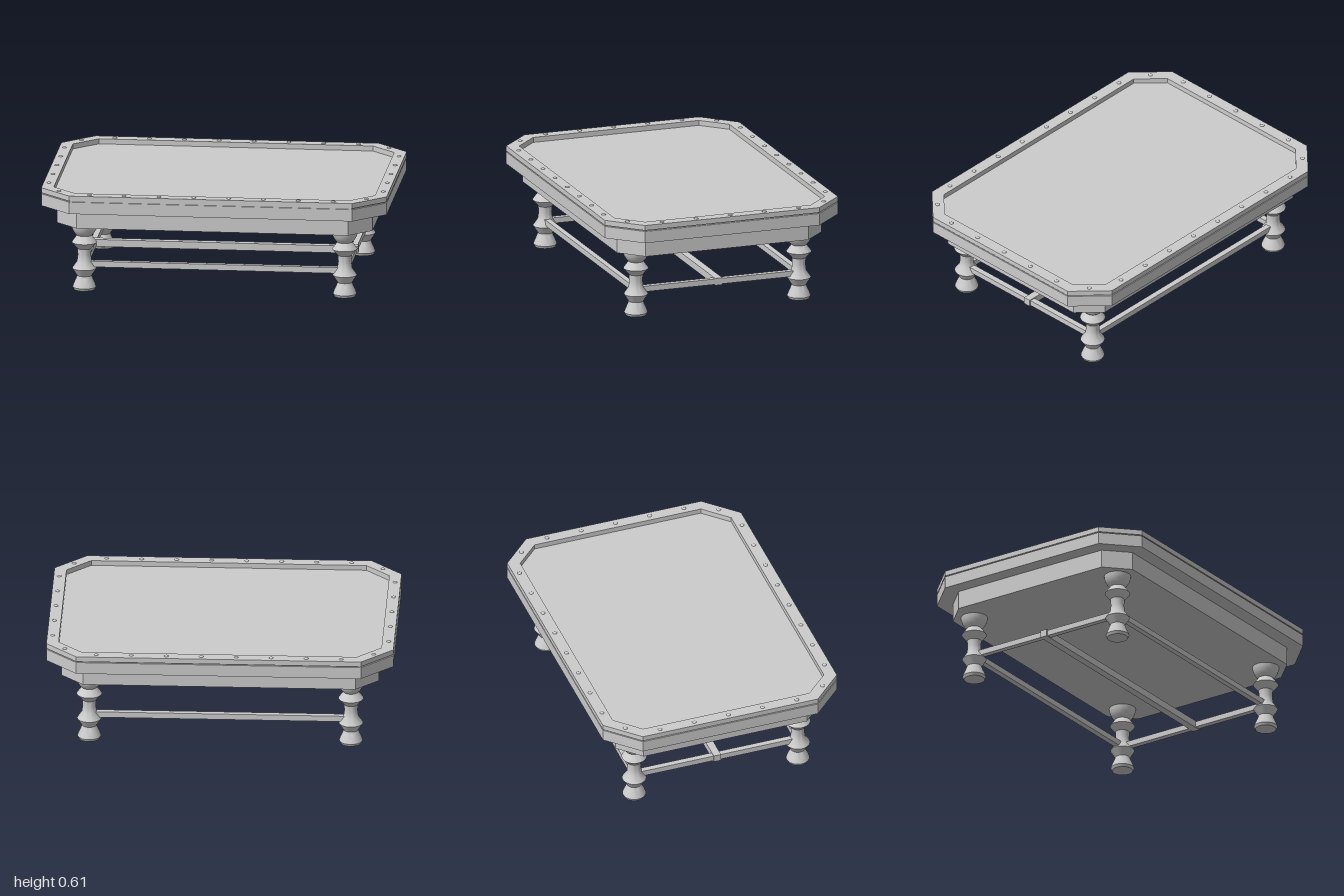
import * as THREE from 'three';
import { toCreasedNormals } from 'three/addons/utils/BufferGeometryUtils.js';

// Traces a rectangle with clipped corners: half sizes x, z and the clip length
function octagon(path, x, z, clip) {
  const pts = [[x, z - clip], [x - clip, z], [-x + clip, z], [-x, z - clip],
    [-x, -z + clip], [-x + clip, -z], [x - clip, -z], [x, -z + clip]];
  path.setFromPoints(pts.map(([a, b]) => new THREE.Vector2(a, b)));
  return path;
}

// Horizontal slab between two heights
function slab(shape, y0, y1) {
  const g = new THREE.ExtrudeGeometry(shape, { depth: y1 - y0, bevelEnabled: false });
  g.rotateX(-Math.PI / 2);
  g.translate(0, y0, 0);
  return g;
}

export function createModel() {
  const table = new THREE.Group();
  table.name = 'table';
  const grey = new THREE.MeshStandardMaterial({ color: 0xcccccc });
  grey.name = 'grey';

  const add = (name, geometry, x = 0, y = 0, z = 0) => {
    const mesh = new THREE.Mesh(geometry, grey);
    mesh.name = name;
    mesh.position.set(x, y, z);
    table.add(mesh);
    return mesh;
  };

  // Apron, table top and the thin inset layer seen inside the rim
  add('apron', slab(octagon(new THREE.Shape(), 0.914, 0.627, 0.128), 0.39, 0.497));
  add('tableTop', slab(octagon(new THREE.Shape(), 1, 0.715, 0.18), 0.497, 0.567));
  add('playingSurface', slab(octagon(new THREE.Shape(), 0.992, 0.707, 0.177), 0.567, 0.573));

  // Raised rim around the recessed surface
  const rim = octagon(new THREE.Shape(), 1, 0.715, 0.18);
  rim.holes.push(octagon(new THREE.Path(), 0.93, 0.645, 0.137));
  add('rim', slab(rim, 0.573, 0.603));

  // Domed studs along the rim
  const studGeometry = new THREE.SphereGeometry(0.013, 12, 4, 0, Math.PI * 2, 0, Math.PI / 2);
  studGeometry.scale(1, 0.6, 1);
  const stud = (x, z) => add('stud', studGeometry, x, 0.602, z);
  for (const s of [-1, 1]) {
    for (let i = 0; i < 8; i++) stud((i - 3.5) * 0.2017, s * 0.68);
    for (let i = -2; i <= 2; i++) stud(s * 0.968, i * 0.209);
    for (const t of [-1, 1]) stud(s * 0.89, t * 0.603);
  }

  // Turned legs: radius and height from floor to apron
  const profile = [
    [0, 0], [0.06, 0], [0.068, 0.016], [0.061, 0.036], [0.05, 0.06], [0.042, 0.082],
    [0.07, 0.126], [0.043, 0.166], [0.038, 0.205], [0.041, 0.243],
    [0.073, 0.28], [0.043, 0.321], [0.057, 0.335], [0.068, 0.354],
    [0.075, 0.375], [0.077, 0.392], [0, 0.392],
  ].map(([r, y]) => new THREE.Vector2(r, y));
  const legGeometry = toCreasedNormals(new THREE.LatheGeometry(profile, 32), 0.6);
  for (const x of [-0.754, 0.754]) {
    for (const z of [-0.5, 0.5]) add('leg', legGeometry, x, 0, z);
  }

  // Stretchers between the legs and the centre bar joining the end stretchers
  for (const s of [-1, 1]) {
    add('longStretcher', new THREE.BoxGeometry(1.508, 0.034, 0.034), 0, 0.153, s * 0.5);
    add('endStretcher', new THREE.BoxGeometry(0.034, 0.033, 1), s * 0.754, 0.152, 0);
  }
  add('centreStretcher', new THREE.BoxGeometry(1.556, 0.042, 0.044), 0, 0.153, 0);

  return table;
}
